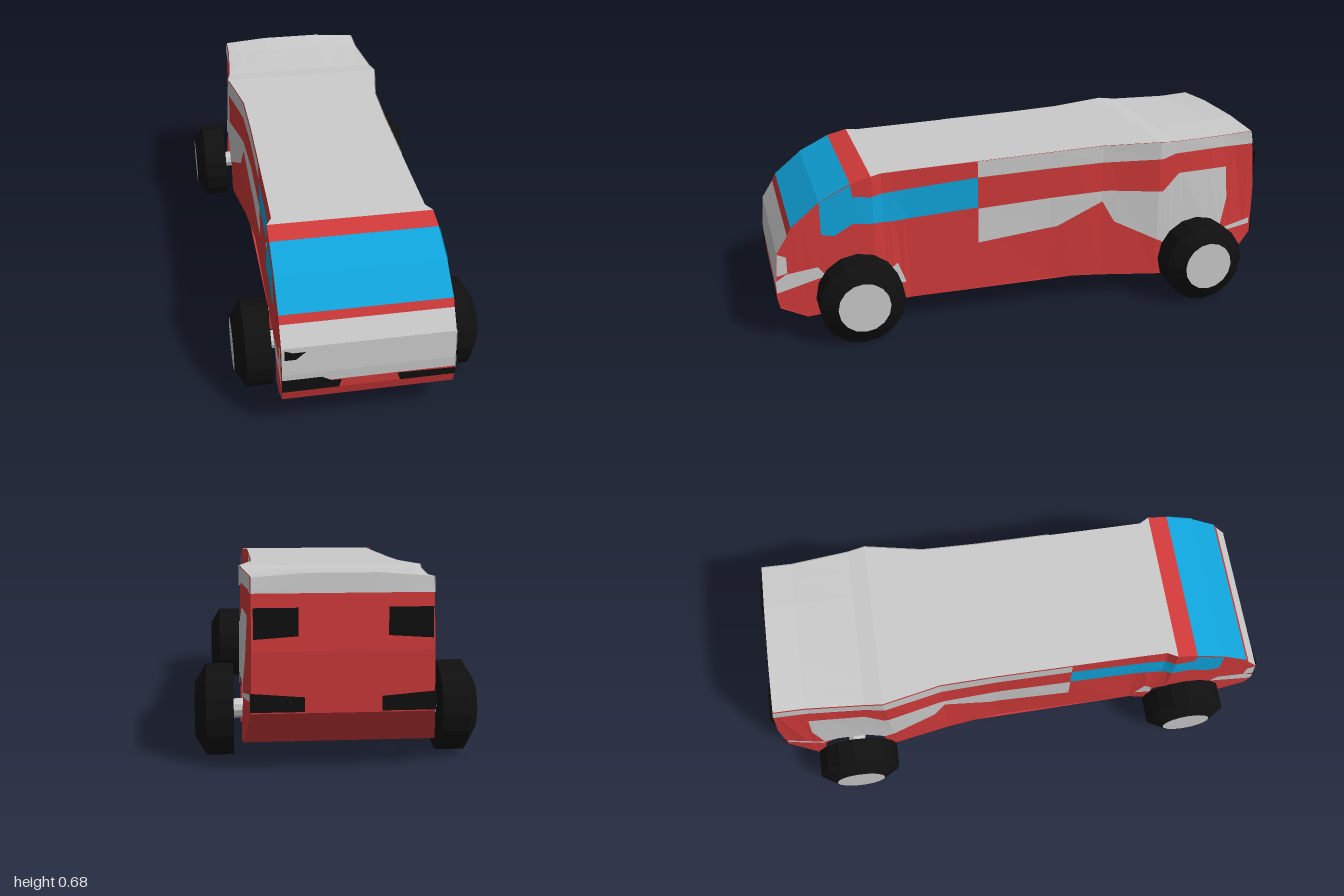
import * as THREE from 'three';

const RED = 0xd23a3a, BLUE = 0x10a5dc, BLACK = 0x101010, GREY = 0xcccccc;
const mats = {};
const mat = (color) => (mats[color] ??= new THREE.MeshStandardMaterial({ color, flatShading: true, side: THREE.DoubleSide }));

// Piecewise linear lookup in rows [z, ...values] sorted by falling z
function lookup(rows, z, k = 1) {
  if (z >= rows[0][0]) return rows[0][k];
  for (let i = 1; i < rows.length; i++) {
    const a = rows[i - 1], b = rows[i];
    if (z >= b[0]) return a[k] + (b[k] - a[k]) * (a[0] - z) / (a[0] - b[0]);
  }
  return rows[rows.length - 1][k];
}

// Half width of the body: [z, at the sill, at the roof]
const widths = [
  [1, 0.31, 0.31], [0.62, 0.315, 0.307], [0.58, 0.31, 0.285], [0.48, 0.29, 0.285], [-0.1, 0.285, 0.285],
  [-0.32, 0.305, 0.29], [-0.55, 0.338, 0.335], [-0.62, 0.34, 0.325], [-0.85, 0.34, 0.305], [-1, 0.31, 0.305],
];
function halfWidth(z, y) {
  const t = THREE.MathUtils.clamp((y - 0.1) / 0.55, 0, 1);
  return THREE.MathUtils.lerp(lookup(widths, z, 1), lookup(widths, z, 2), t);
}

// Upper outline from nose to tail, and lower outline with wheel arches, as [z, y]
const upper = [
  [1, 0.21], [0.99, 0.36], [0.945, 0.43], [0.93, 0.46], [0.82, 0.55], [0.7, 0.61], [0.62, 0.63], [0.58, 0.631],
  [0.48, 0.634], [-0.1, 0.648], [-0.32, 0.655], [-0.55, 0.662], [-0.62, 0.655], [-0.85, 0.655], [-0.97, 0.662],
  [-0.98, 0.61], [-1, 0.42],
];
const frontArch = [[0.83, 0.09], [0.81, 0.22], [0.75, 0.27], [0.63, 0.27], [0.57, 0.22], [0.55, 0.1]];
const rearArch = [[-0.58, 0.08], [-0.6, 0.22], [-0.66, 0.27], [-0.78, 0.27], [-0.84, 0.22], [-0.86, 0.085]];
const lower = [
  [1, 0.175], [0.99, 0.14], [0.89, 0.085], ...frontArch, [0.5, 0.1], [-0.2, 0.1], ...rearArch, [-0.89, 0.085], [-1, 0.21],
];
const CORE = 0.2; // half width of the floor between the wheels

function meshFrom(name, color, positions) {
  const g = new THREE.BufferGeometry();
  g.setAttribute('position', new THREE.Float32BufferAttribute(positions, 3));
  g.computeVertexNormals();
  const m = new THREE.Mesh(g, mat(color));
  m.name = name;
  return m;
}
const quad = (out, a, b, c, d) => out.push(...a, ...b, ...c, ...a, ...c, ...d);

// Raised middle of the roof towards the tail
function crown(u, z, y) {
  if (z > -0.6 || y < 0.64) return 0;
  return 0.014 * Math.min(1, (1 - Math.abs(u)) / 0.6) * (-z - 0.6) / 0.37;
}

// Skin running across the body along a path of [z, y]
function acrossSkin(name, color, path, fixedWidth) {
  const out = [], us = [-1, -0.75, -0.4, 0.4, 0.75, 1];
  const at = (u, [z, y]) => [u * (fixedWidth ?? halfWidth(z, y)), y + crown(u, z, y), z];
  for (let i = 1; i < path.length; i++)
    for (let j = 1; j < us.length; j++)
      quad(out, at(us[j - 1], path[i - 1]), at(us[j], path[i - 1]), at(us[j], path[i]), at(us[j - 1], path[i]));
  return meshFrom(name, color, out);
}

// Side skin between a top and a bottom line, following the body width
function sideBand(name, color, side, top, bottom, lift = 0.004, fixedWidth) {
  const zMax = top[0][0], zMin = top[top.length - 1][0];
  const zs = [...new Set([...top, ...bottom, ...widths].map((p) => p[0]))]
    .filter((z) => z <= zMax && z >= zMin).sort((a, b) => b - a);
  const out = [];
  const at = (line, z) => {
    const y = lookup(line, z);
    return [side * ((fixedWidth ?? halfWidth(z, y)) + lift), y, z];
  };
  for (let i = 1; i < zs.length; i++) {
    const q = [at(top, zs[i - 1]), at(bottom, zs[i - 1]), at(bottom, zs[i]), at(top, zs[i])];
    quad(out, ...(side > 0 ? q : q.reverse()));
  }
  return meshFrom(name, color, out);
}

// Lining of a wheel arch, from the floor core out to the side skin
function archLining(side, arch) {
  const out = [];
  for (let i = 1; i < arch.length; i++) {
    const edge = (p) => [[side * CORE, p[1], p[0]], [side * halfWidth(p[0], p[1]), p[1], p[0]]];
    const [a, b] = edge(arch[i - 1]), [d, c] = edge(arch[i]);
    quad(out, ...(side > 0 ? [a, d, c, b] : [a, b, c, d]));
  }
  return meshFrom('wheelArch', RED, out);
}

// Flat outline facing front or back
function facePanel(name, color, points, z) {
  const shape = new THREE.Shape(points.map(([x, y]) => new THREE.Vector2(x, y)));
  const m = new THREE.Mesh(new THREE.ShapeGeometry(shape), mat(color));
  m.name = name;
  m.position.z = z;
  return m;
}

function wheel(side, inner, z) {
  const g = new THREE.Group();
  g.name = z > 0 ? 'frontWheel' : 'rearWheel';
  const profile = [[0, 0], [0.165, 0], [0.165, 0.095], [0.1, 0.135]].map(([r, h]) => new THREE.Vector2(r, h));
  const tyre = new THREE.Mesh(new THREE.LatheGeometry(profile, 16), mat(BLACK));
  tyre.name = 'tyre';
  const hub = new THREE.Mesh(new THREE.CylinderGeometry(0.1, 0.1, 0.02, 16), mat(GREY));
  hub.name = 'hub';
  hub.position.y = 0.125;
  g.add(tyre, hub);
  g.rotation.z = -side * Math.PI / 2;
  g.position.set(side * inner, 0.165, z);
  return g;
}

export function createModel() {
  const model = new THREE.Group();
  model.name = 'van';

  // Nose, windscreen, roof and tail
  model.add(
    acrossSkin('frontBumper', RED, [[0.89, 0.085], [0.99, 0.135], [1, 0.175], [1, 0.21]]),
    acrossSkin('bonnet', GREY, [[1, 0.21], [1, 0.25], ...upper.slice(1, 3)]),
    acrossSkin('windscreenSill', RED, upper.slice(2, 4)),
    acrossSkin('windscreen', BLUE, upper.slice(3, 6)),
    acrossSkin('windscreenHeader', RED, upper.slice(5, 7)),
    acrossSkin('roof', GREY, upper.slice(6, 16)),
    acrossSkin('tailgate', RED, [...upper.slice(15), [-1, 0.21], [-0.89, 0.085]]),
  );

  // Floor, narrowed between the wheels
  model.add(
    acrossSkin('rearFloor', RED, [[-0.89, 0.085], [-0.86, 0.085]]),
    acrossSkin('rearAxleFloor', RED, [[-0.86, 0.085], [-0.58, 0.08]], CORE),
    acrossSkin('floor', RED, [[-0.58, 0.08], [-0.32, 0.094], [-0.2, 0.1], [0.48, 0.1], [0.55, 0.1]]),
    acrossSkin('frontAxleFloor', RED, [[0.55, 0.1], [0.83, 0.09]], CORE),
    acrossSkin('frontFloor', RED, [[0.83, 0.09], [0.89, 0.085]]),
  );

  for (const side of [1, -1]) {
    // Side skin and its coloured areas
    model.add(
      sideBand('sidePanel', RED, side, upper, lower, 0),
      sideBand('sideWindow', BLUE, side,
        [[0.82, 0.55], [0.7, 0.607], [0.695, 0.56], [0.63, 0.55], [0.2, 0.575]],
        [[0.82, 0.42], [0.77, 0.41], [0.7, 0.45], [0.55, 0.435], [0.2, 0.45]]),
      sideBand('roofSide', GREY, side,
        [[0.2, 0.641], ...upper.slice(9, 15), [-0.98, 0.61]],
        [[0.2, 0.575], [-0.57, 0.59], [-0.62, 0.605], [-0.98, 0.608]]),
      sideBand('sidePatch', GREY, side,
        [[0.2, 0.445], [-0.35, 0.465], [-0.57, 0.45], [-0.64, 0.52], [-0.86, 0.52], [-0.87, 0.39]],
        [[0.2, 0.3], [-0.13, 0.33], [-0.32, 0.42], [-0.37, 0.33], [-0.59, 0.22], [-0.66, 0.272], [-0.78, 0.272], [-0.84, 0.25], [-0.87, 0.38]]),
      sideBand('rearCornerStrip', GREY, side, [[-0.84, 0.25], [-0.99, 0.275]], [[-0.84, 0.235], [-0.99, 0.25]]),
      sideBand('frontCornerStrip', GREY, side, [[1, 0.25], [0.96, 0.275], [0.84, 0.29], [0.81, 0.25]], [[1, 0.2], [0.81, 0.25]]),
      sideBand('noseCorner', GREY, side, [[0.995, 0.28], [0.988, 0.36], [0.955, 0.345]], [[0.995, 0.27], [0.955, 0.28]]),
      sideBand('frontWheelTrim', GREY, side, [[0.56, 0.24], [0.53, 0.26], [0.5, 0.18]], [[0.56, 0.19], [0.5, 0.17]]),
    );
    // Arches and wheels
    for (const arch of [frontArch, rearArch]) {
      const base = [arch[0], arch[arch.length - 1]];
      model.add(archLining(side, arch), sideBand('archInnerWall', RED, side, arch, base, 0, CORE));
    }
    model.add(wheel(side, 0.325, 0.69), wheel(side, 0.365, -0.715));
    // Grille and tail lamps
    const mirror = (points) => points.map(([x, y]) => [side * x, y]);
    model.add(
      facePanel('frontGrille', BLACK, mirror([[0.11, 0.177], [0.312, 0.177], [0.312, 0.205], [0.1, 0.21]]), 1.003),
      facePanel('tailLamp', BLACK, mirror([[0.15, 0.47], [0.3, 0.46], [0.3, 0.565], [0.15, 0.565]]), -1.001),
      facePanel('rearBumperInsert', BLACK, mirror([[0.13, 0.215], [0.312, 0.215], [0.312, 0.28], [0.13, 0.265]]), -1.003),
    );
  }
  // Uneven black marks on the right of the nose
  model.add(
    facePanel('grilleTop', BLACK, [[-0.312, 0.2], [-0.12, 0.2], [-0.17, 0.23], [-0.312, 0.23]], 1.003),
    facePanel('noseMark', BLACK, [[-0.3, 0.315], [-0.26, 0.315], [-0.225, 0.345], [-0.27, 0.345], [-0.3, 0.357]], 0.998),
  );

  // Axles
  for (const [z, length] of [[0.69, 0.68], [-0.715, 0.76]]) {
    const axle = new THREE.Mesh(new THREE.CylinderGeometry(0.035, 0.035, length, 10), mat(GREY));
    axle.name = 'axle';
    axle.rotation.z = Math.PI / 2;
    axle.position.set(0, 0.165, z);
    model.add(axle);
  }
  return model;
}
